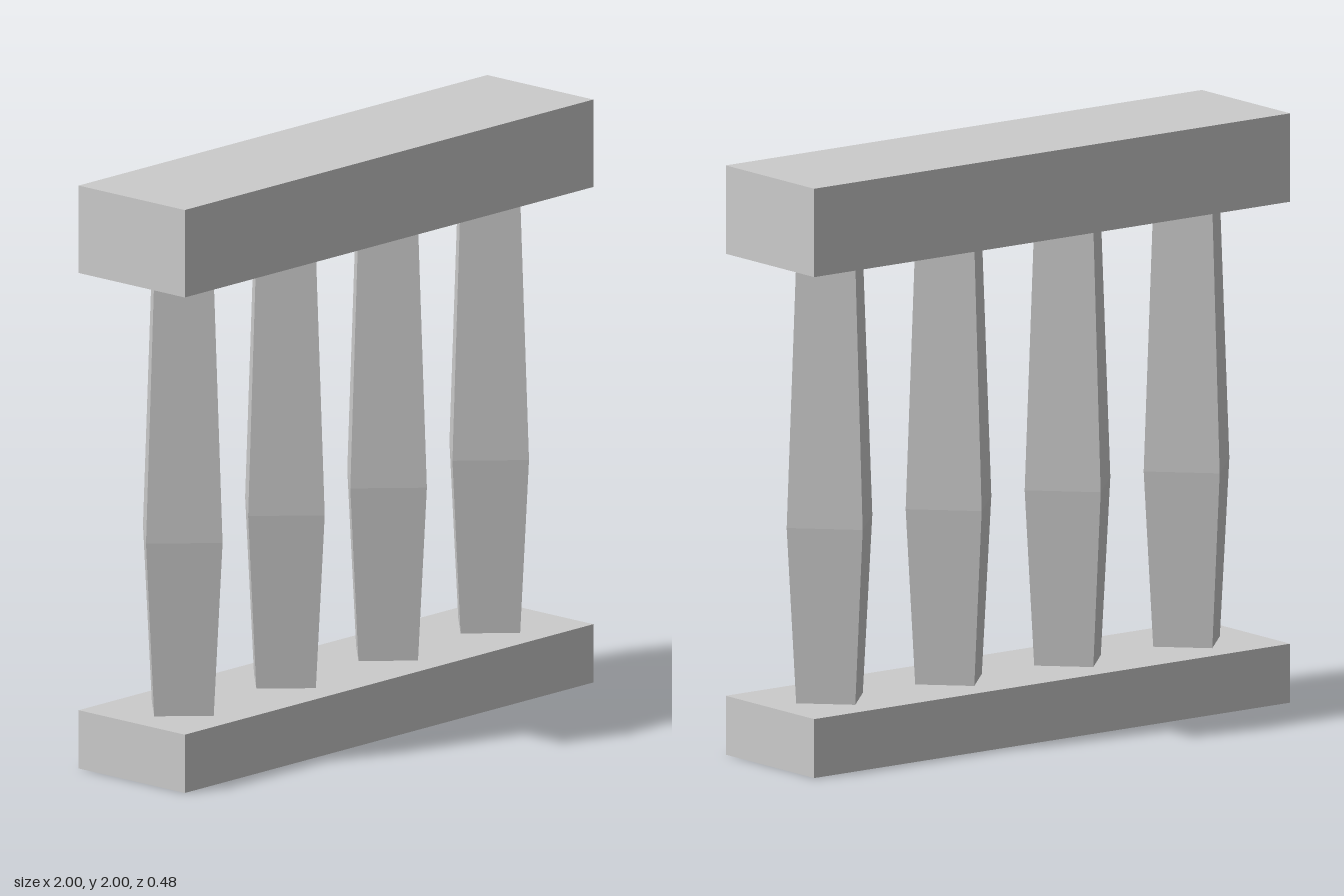
import * as THREE from 'three';

const LENGTH = 2, DEPTH = 0.48;
const BASE_TOP = 0.2, RAIL_BOTTOM = 1.7, RAIL_TOP = 2;

export function createModel() {
  const model = new THREE.Group();
  model.name = 'balustrade';
  const stone = new THREE.MeshStandardMaterial({ color: 0xcccccc, flatShading: true });

  const addBeam = (name, bottom, top) => {
    const beam = new THREE.Mesh(new THREE.BoxGeometry(LENGTH, top - bottom, DEPTH), stone);
    beam.name = name;
    beam.position.y = (bottom + top) / 2;
    model.add(beam);
  };

  // Plinth and thicker handrail
  addBeam('base', 0, BASE_TOP);
  addBeam('handrail', RAIL_BOTTOM, RAIL_TOP);

  // Four-sided balusters, corners facing front, widest below the middle
  const profile = [
    new THREE.Vector2(0.14, BASE_TOP),
    new THREE.Vector2(0.18, 0.8),
    new THREE.Vector2(0.14, RAIL_BOTTOM),
  ];
  const balusterGeometry = new THREE.LatheGeometry(profile, 4);
  for (let i = 0; i < 4; i++) {
    const baluster = new THREE.Mesh(balusterGeometry, stone);
    baluster.name = `baluster${i + 1}`;
    baluster.position.x = -0.75 + i * 0.5;
    model.add(baluster);
  }

  return model;
}
